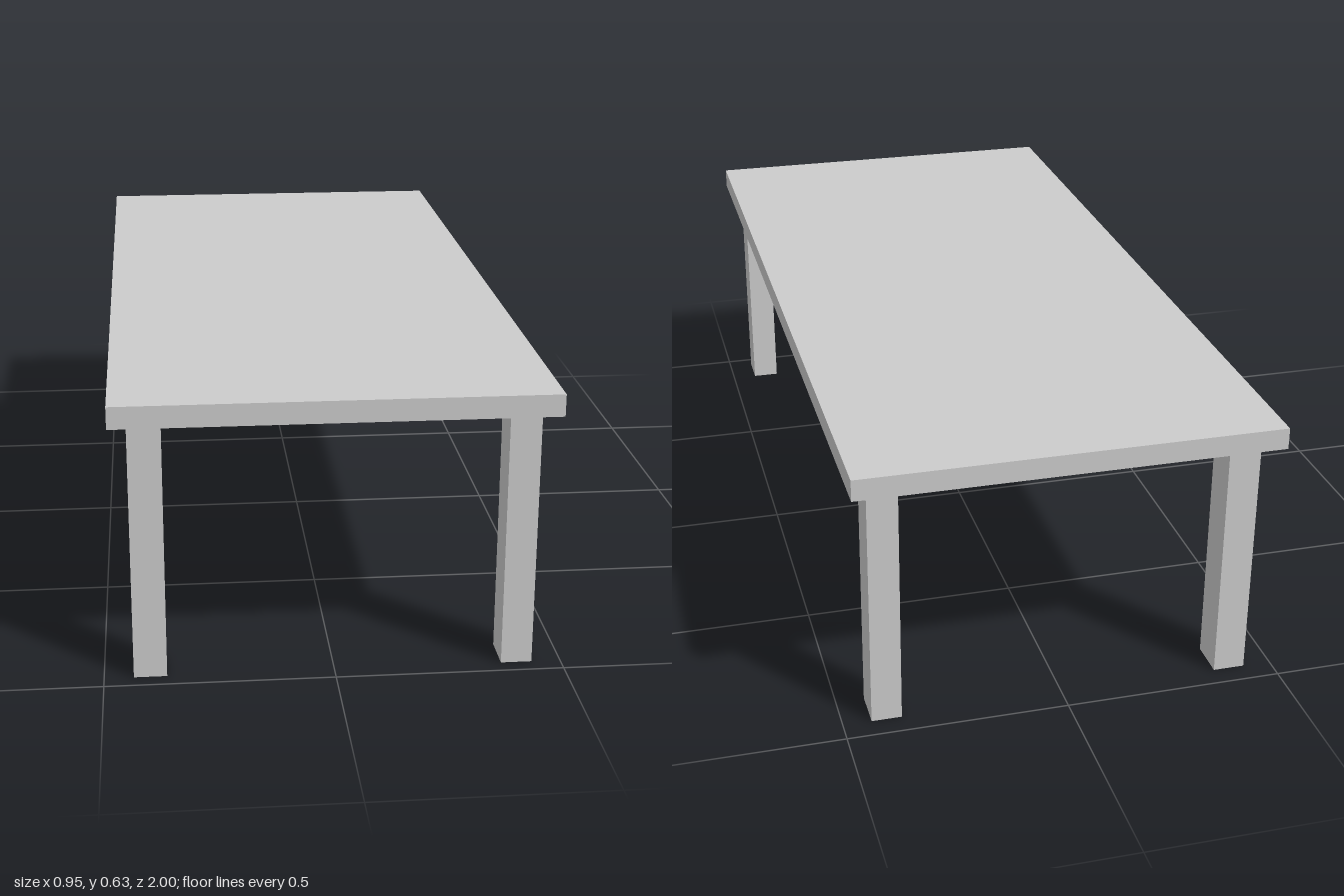
import * as THREE from 'three';

export function createModel() {
  const group = new THREE.Group();
  const material = new THREE.MeshStandardMaterial({ color: 0xcccccc, flatShading: true });

  // Box given by its lower and upper limits on each axis
  const addBox = (name, [x0, x1], [y0, y1], [z0, z1]) => {
    const mesh = new THREE.Mesh(new THREE.BoxGeometry(x1 - x0, y1 - y0, z1 - z0), material);
    mesh.position.set((x0 + x1) / 2, (y0 + y1) / 2, (z0 + z1) / 2);
    mesh.name = name;
    group.add(mesh);
  };

  const underside = 0.583;
  addBox('tableTop', [-0.475, 0.475], [underside, 0.632], [-1, 1]);

  // Four square legs, set in slightly from the edges
  const sides = { Right: [-0.436, -0.364], Left: [0.368, 0.436] };
  const ends = { front: [0.876, 0.964], back: [-0.951, -0.863] };
  for (const [end, z] of Object.entries(ends)) {
    for (const [side, x] of Object.entries(sides)) {
      addBox(`${end}${side}Leg`, x, [0, underside], z);
    }
  }
  return group;
}
